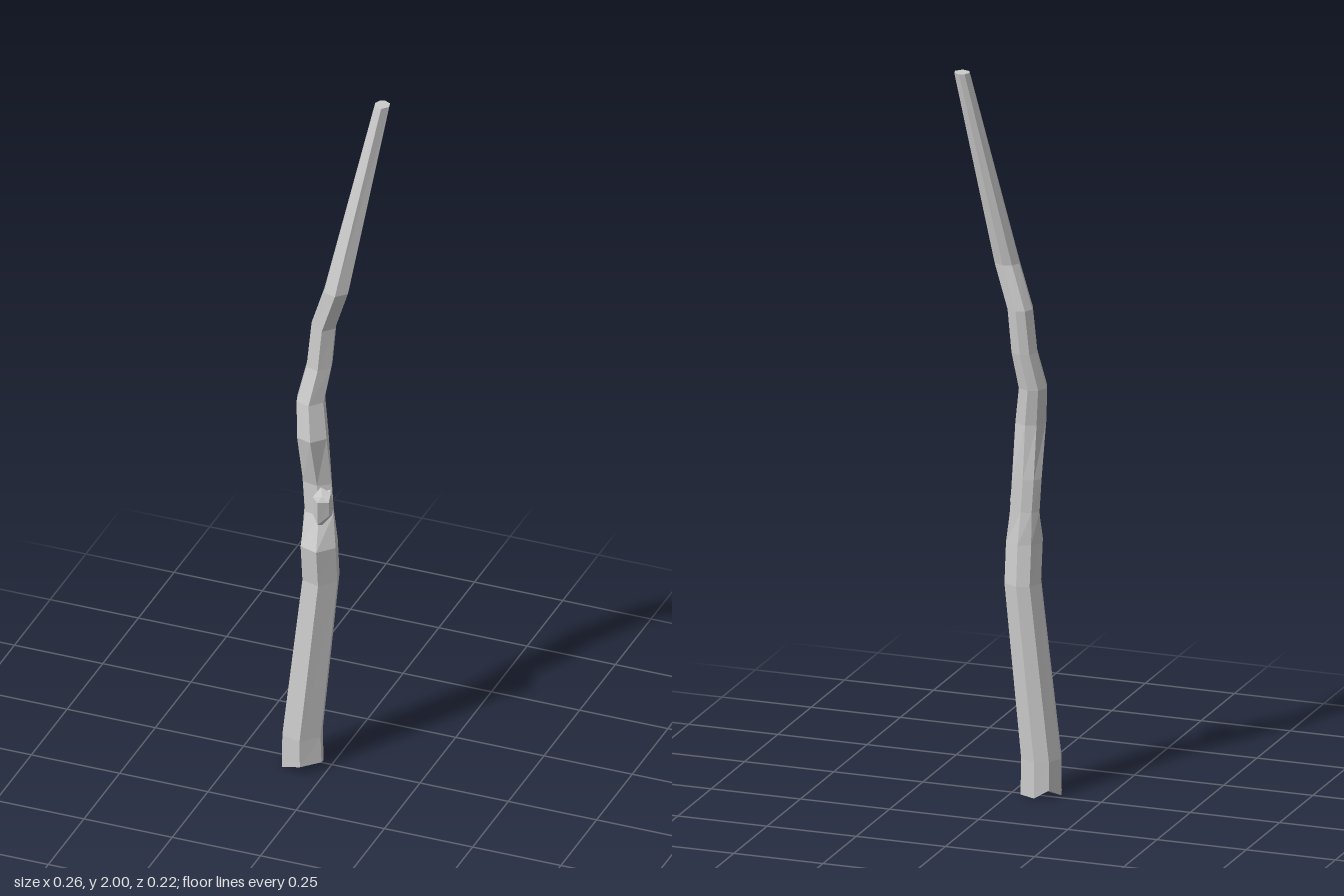
import * as THREE from 'three';

// Skins a list of rings (each a list of points) and closes both ends.
function loft(name, rings, material) {
  const pos = [];
  const tri = (...pts) => pts.forEach((p) => pos.push(p.x, p.y, p.z));
  const n = rings[0].length;
  const middle = (ring) =>
    ring.reduce((s, p) => s.add(p), new THREE.Vector3()).divideScalar(n);
  const first = rings[0], last = rings[rings.length - 1];
  const bottom = middle(first), top = middle(last);
  for (let i = 0; i < n; i++) {
    const j = (i + 1) % n;
    for (let k = 0; k < rings.length - 1; k++) {
      const a = rings[k], b = rings[k + 1];
      tri(a[i], b[i], a[j]);
      tri(a[j], b[i], b[j]);
    }
    tri(bottom, first[i], first[j]);
    tri(top, last[j], last[i]);
  }
  const geometry = new THREE.BufferGeometry();
  geometry.setAttribute('position', new THREE.Float32BufferAttribute(pos, 3));
  geometry.computeVertexNormals();
  const mesh = new THREE.Mesh(geometry, material);
  mesh.name = name;
  return mesh;
}

// An oval ring; tilt 0 lies flat, tilt 90 stands upright facing +z.
function ring(angles, x, y, z, rx, rz, tilt = 0) {
  const t = THREE.MathUtils.degToRad(tilt);
  return angles.map((deg) => {
    const a = THREE.MathUtils.degToRad(deg);
    const v = Math.sin(a) * rz;
    return new THREE.Vector3(x + Math.cos(a) * rx, y - v * Math.sin(t), z + v * Math.cos(t));
  });
}

export function createModel() {
  const group = new THREE.Group();
  group.name = 'woodenStick';
  const wood = new THREE.MeshStandardMaterial({ color: 0xcccccc, flatShading: true });

  // Crooked shaft: x, y, z, half width, half depth
  const sides = [10, 76, 139, 184, 229, 270, 321];
  const shaftRings = [
    [-0.073, 0, 0.024, 0.058, 0.056],
    [-0.073, 0.1, 0.025, 0.056, 0.056],
    [-0.025, 0.58, 0.015, 0.051, 0.052],
    [-0.025, 0.69, 0.027, 0.051, 0.053],
    [-0.031, 0.78, 0.011, 0.043, 0.03],
    [-0.037, 0.87, 0.01, 0.043, 0.029],
    [-0.042, 1.02, 0.03, 0.043, 0.045],
    [-0.053, 1.12, 0.016, 0.039, 0.041],
    [-0.035, 1.22, 0.0, 0.036, 0.036],
    [-0.025, 1.34, -0.005, 0.035, 0.036],
    [0.015, 1.46, 0.004, 0.035, 0.034],
    [0.108, 2, -0.087, 0.021, 0.022],
  ].map((r) => ring(sides, ...r));
  // Notches in the cut foot
  [0, 1, 4].forEach((i) => { shaftRings[0][i].y = 0.022; });
  group.add(loft('shaft', shaftRings, wood));

  // Broken twig that leaves the front and bends upward
  const twigSides = [18, 90, 162, 234, 306];
  const twigRings = [
    [-0.015, 0.815, 0.01, 0.026, 0.05, 90],
    [-0.003, 0.813, 0.05, 0.026, 0.046, 75],
    [0.002, 0.822, 0.072, 0.025, 0.043, 40],
    [0.002, 0.862, 0.073, 0.024, 0.033, 0],
  ].map((r) => ring(twigSides, ...r));
  // Splintered end
  twigRings[3][3].y += 0.012;
  twigRings[3][0].y -= 0.008;
  group.add(loft('twigStub', twigRings, wood));

  return group;
}
